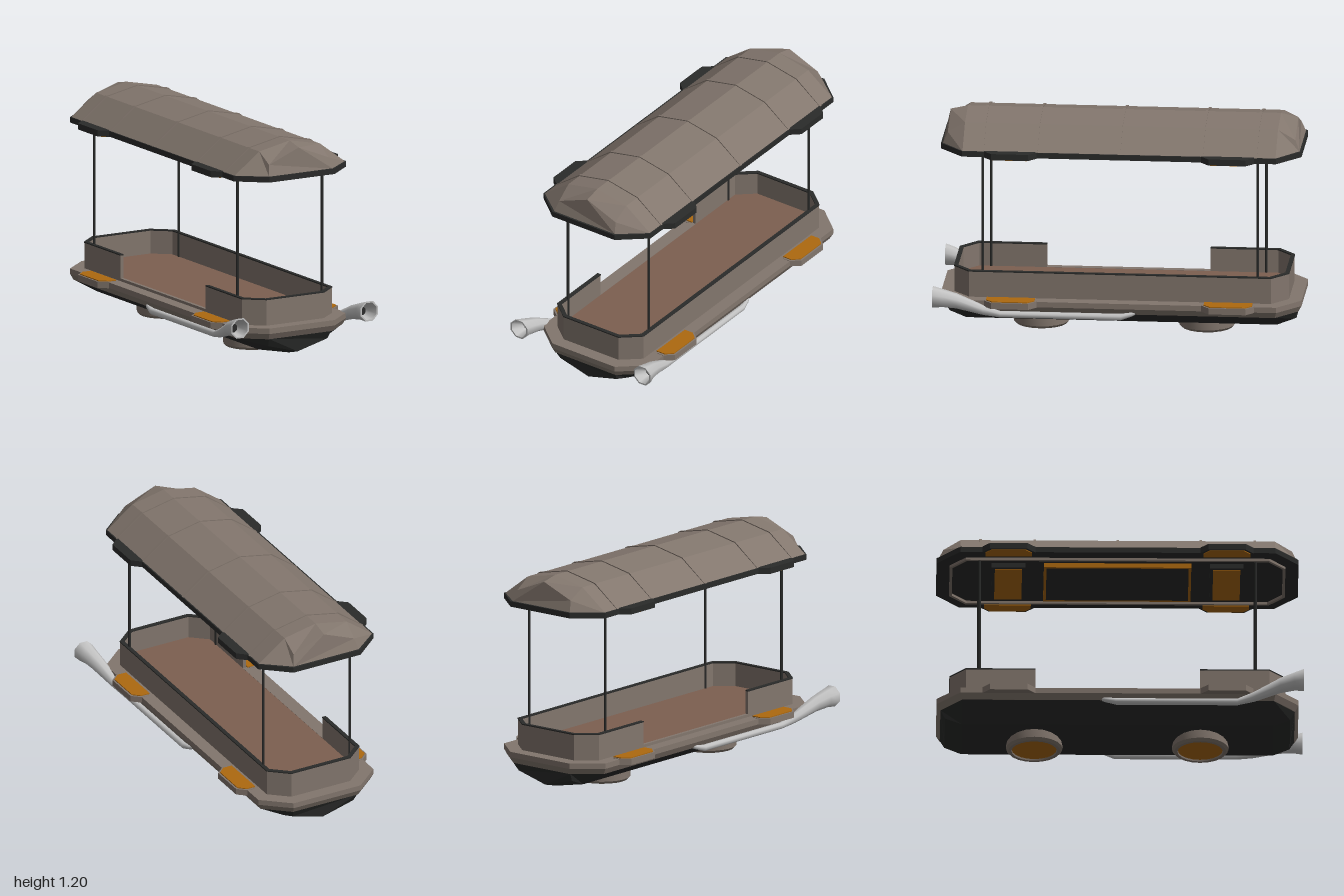
import * as THREE from 'three';
import { toCreasedNormals } from 'three/addons/utils/BufferGeometryUtils.js';

const paint = (name, color) => {
  const m = new THREE.MeshStandardMaterial({ color });
  m.name = name;
  return m;
};
const V = (x, y, z) => new THREE.Vector3(x, y, z);

// Skin through closed rings (counter-clockwise seen from the travel direction), capped at both ends
function loft(rings) {
  const pos = [];
  const tri = (...ps) => ps.forEach((p) => pos.push(p.x, p.y, p.z));
  const n = rings[0].length;
  for (let r = 0; r < rings.length - 1; r++) {
    const a = rings[r], b = rings[r + 1];
    for (let i = 0; i < n; i++) {
      const j = (i + 1) % n;
      tri(a[i], a[j], b[j]);
      tri(a[i], b[j], b[i]);
    }
  }
  const first = rings[0], last = rings[rings.length - 1];
  for (let i = 1; i < n - 1; i++) {
    tri(first[0], first[i + 1], first[i]);
    tri(last[0], last[i], last[i + 1]);
  }
  const g = new THREE.BufferGeometry();
  g.setAttribute('position', new THREE.Float32BufferAttribute(pos, 3));
  g.computeVertexNormals();
  return g;
}

// Upright prism from an [x, z] outline, with an optional hole
function prism(pts, y0, y1, hole) {
  const to2 = (list) => list.map(([x, z]) => new THREE.Vector2(x, -z));
  const shape = new THREE.Shape(to2(pts));
  if (hole) shape.holes.push(new THREE.Path(to2(hole)));
  const g = new THREE.ExtrudeGeometry(shape, { depth: y1 - y0, bevelEnabled: false });
  return g.rotateX(-Math.PI / 2).translate(0, y0, 0);
}

// Long chamfered plan shared by roof, deck and cabin, moved inward by d
function plan(d) {
  const w = 0.3525 - d, l = 0.97 - d, c = 0.845 - 0.46 * d, e = 0.205 - 0.36 * d;
  return [[-w, c], [-e, l], [e, l], [w, c], [w, -c], [e, -l], [-e, -l], [-w, -c]];
}
const rect = (w, l, z = 0) => [[-w, z - l], [w, z - l], [w, z + l], [-w, z + l]];

// Five-point arched section; up = 1 for the roof, -1 for the keel
function arch(up, y, w, s, mid, top, zEdge, zMid = zEdge) {
  const ring = [
    V(w, y, zEdge), V(s, y + up * mid, zMid), V(0, y + up * top, zMid),
    V(-s, y + up * mid, zMid), V(-w, y, zEdge),
  ];
  return up > 0 ? ring : ring.reverse();
}

export function createModel() {
  const taupe = paint('taupe panels', 0x82766d);
  const dark = paint('dark trim', 0x2a2b2a);
  const brown = paint('brown floor', 0x7d5f50);
  const orange = paint('orange lights', 0xad690f);
  const silver = paint('silver pipes', 0xc2c2c2);

  const boat = new THREE.Group();
  boat.name = 'canopyBarge';
  const add = (name, geometry, material) => {
    const m = new THREE.Mesh(geometry, material);
    m.name = name;
    boat.add(m);
    return m;
  };

  // Hull: dark keel, bevelled gunwale, deck
  add('keel', loft([
    arch(-1, 0.148, 0.195, 0.185, 0.045, 0.095, -0.95, -0.925),
    arch(-1, 0.148, 0.335, 0.19, 0.08, 0.118, -0.835),
    arch(-1, 0.148, 0.335, 0.19, 0.08, 0.118, 0.835),
    arch(-1, 0.148, 0.195, 0.185, 0.045, 0.095, 0.95, 0.925),
  ]), dark);
  const level = (d, y) => plan(d).map(([x, z]) => V(x, y, z));
  add('gunwale', loft([level(0.018, 0.147), level(0, 0.18)]), taupe);
  add('deck', prism(plan(0), 0.18, 0.21), taupe);
  add('floor', prism(plan(0.088), 0.21, 0.224), brown);

  // Cabin wall with a boarding gap on the right side, and a dark cap rail
  const wallPath = (d) => {
    const p = plan(d), x = p[0][0];
    return [[x, 0.44], ...p, [x, -0.44]];
  };
  const wall = [...wallPath(0.07), ...wallPath(0.088).reverse()];
  add('cabinWall', prism(wall, 0.21, 0.35), taupe);
  add('wallCap', prism([...wallPath(0.068), ...wallPath(0.09).reverse()], 0.35, 0.356), dark);
  add('doorSill', prism([[-0.2825, -0.44], [-0.264, -0.44], [-0.264, 0.44], [-0.2825, 0.44]], 0.21, 0.225), taupe);

  // Round thrusters under the keel
  for (const z of [-0.445, 0.445]) {
    const profile = [[0.12, 0.012], [0.122, 0], [0.14, 0], [0.152, 0.014], [0.152, 0.08]]
      .map(([r, y]) => new THREE.Vector2(r, y));
    const ring = toCreasedNormals(new THREE.LatheGeometry(profile, 20), 0.5);
    add('thrusterRing', ring.translate(0, 0, z), taupe);
    add('thrusterLight', new THREE.CircleGeometry(0.122, 20).rotateX(Math.PI / 2).translate(0, 0.009, z), orange);
  }

  // Roof: arched shell, ribs, dark rim, skirt ring
  add('roofShell', loft([
    arch(1, 1.04, 0.2, 0.185, 0.06, 0.135, -0.96, -0.935),
    arch(1, 1.04, 0.348, 0.19, 0.117, 0.156, -0.842),
    arch(1, 1.04, 0.348, 0.19, 0.117, 0.156, 0.842),
    arch(1, 1.04, 0.2, 0.185, 0.06, 0.135, 0.96, 0.935),
  ]), taupe);
  for (const z of [-0.735, -0.445, 0, 0.445, 0.735]) {
    const section = (dz) => arch(1, 1.04, 0.352, 0.193, 0.122, 0.161, z + dz);
    add('roofRib', loft([section(-0.007), section(0.007)]), taupe);
  }
  add('roofRim', prism(plan(0), 1.012, 1.042), dark);
  add('roofSkirt', prism(plan(0.07), 0.998, 1.013, plan(0.085)), taupe);

  // Ceiling lights: central frame and two end panels
  add('ceilingFrame', prism(rect(0.216, 0.395), 0.987, 1.013, rect(0.202, 0.381)), orange);
  for (const z of [-0.585, 0.585]) {
    add('ceilingPanel', prism(rect(0.212, 0.09, z), 0.987, 1.013), dark);
    add('ceilingLight', prism(rect(0.19, 0.073, z), 0.984, 0.988), orange);
  }

  for (const side of [-1, 1]) {
    for (const z of [-0.585, 0.585]) {
      // Side pads on the roof rim and deck, each with an orange plate
      const pad = (inner, outer, long, short) => [
        [side * inner, z - long], [side * 0.3525, z - long], [side * outer, z - short],
        [side * outer, z + short], [side * 0.3525, z + long], [side * inner, z + long],
      ];
      add('roofPad', prism(pad(0.31, 0.4, 0.142, 0.1), 1.01, 1.044), dark);
      add('roofPadLight', prism(pad(0.31, 0.39, 0.125, 0.092), 1.006, 1.011), orange);
      add('deckPad', prism(pad(0.31, 0.4, 0.142, 0.1), 0.178, 0.212), taupe);
      add('deckPadLight', prism(pad(0.3, 0.39, 0.13, 0.095), 0.211, 0.217), orange);
    }
    for (const z of [-0.74, 0.74]) {
      // Canopy posts
      add('post', new THREE.CylinderGeometry(0.0075, 0.0075, 0.8, 8).translate(side * 0.265, 0.615, z), dark);
    }

    // Pipe along the hull flaring into a hollow horn: x, y, z, radius
    const path = [
      [0.325, 0.158, -0.1, 0.005], [0.335, 0.15, -0.07, 0.013], [0.345, 0.135, -0.01, 0.018],
      [0.345, 0.135, 0.64, 0.018], [0.358, 0.16, 0.73, 0.027], [0.385, 0.215, 0.87, 0.041],
      [0.397, 0.233, 0.945, 0.049], [0.405, 0.24, 0.997, 0.059], [0.405, 0.24, 0.997, 0.05],
      [0.403, 0.227, 0.92, 0.025],
    ];
    const rings = path.map(([x, y, z, r]) => Array.from({ length: 8 }, (_, i) => {
      const a = ((i + 0.5) / 8) * Math.PI * 2;
      return V(side * x + r * Math.cos(a), y + r * Math.sin(a), z);
    }));
    add('hornPipe', toCreasedNormals(loft(rings), 0.9), silver);
    add('hornThroat', new THREE.CircleGeometry(0.025, 8, Math.PI / 8).translate(side * 0.403, 0.227, 0.924), dark);
  }

  // The whole craft sits turned slightly about the vertical
  boat.rotation.y = 0.038;
  boat.position.set(-0.037, 0, -0.025);
  const model = new THREE.Group();
  model.name = 'model';
  model.add(boat);
  return model;
}
